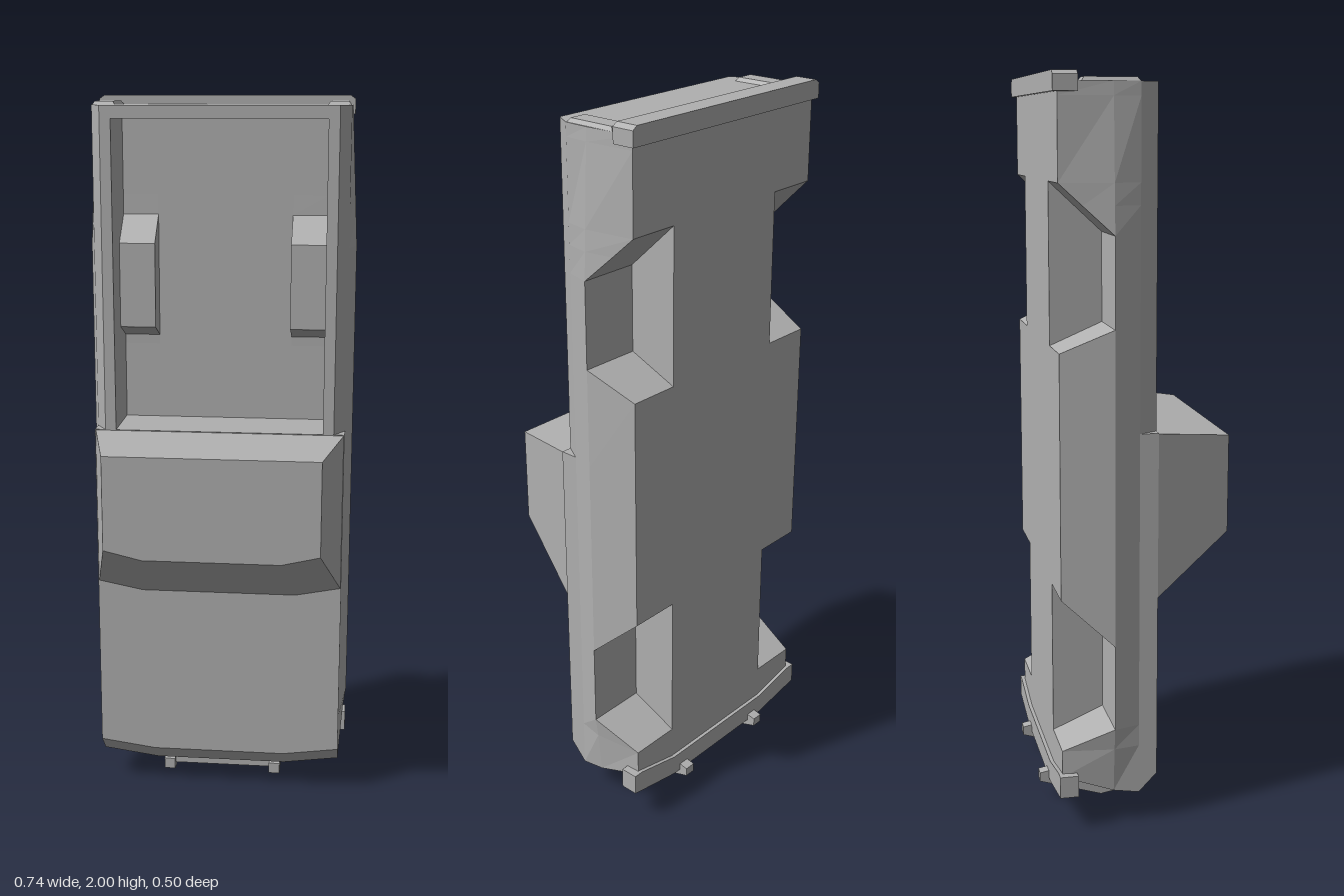
import * as THREE from 'three';

const paint = new THREE.MeshStandardMaterial({ color: 0xb0b0b0 });
paint.name = 'grey';

// Flat-faced surface through rows of [x, y, z]; faces point along (row direction x column direction)
function loft(name, rows, { closed = false, capEnd = false } = {}) {
  const pos = [];
  const n = rows[0].length;
  for (let i = 0; i + 1 < rows.length; i++) {
    for (let j = 0; j < (closed ? n : n - 1); j++) {
      const k = (j + 1) % n;
      const [a, b, c, d] = [rows[i][j], rows[i + 1][j], rows[i][k], rows[i + 1][k]];
      pos.push(...a, ...b, ...c, ...c, ...b, ...d);
    }
  }
  if (capEnd) {
    const e = rows[rows.length - 1];
    for (let j = 1; j + 1 < n; j++) pos.push(...e[0], ...e[j + 1], ...e[j]);
  }
  const g = new THREE.BufferGeometry();
  g.setAttribute('position', new THREE.Float32BufferAttribute(pos, 3));
  g.computeVertexNormals();
  return named(name, g);
}

function named(name, geometry) {
  const m = new THREE.Mesh(geometry, paint);
  m.name = name;
  return m;
}

function box(name, w, h, d, x, y, z) {
  return named(name, new THREE.BoxGeometry(w, h, d).translate(x, y, z));
}

function plate(points, depth) {
  const s = new THREE.Shape(points.map(([x, y]) => new THREE.Vector2(x, y)));
  return new THREE.ExtrudeGeometry(s, { depth, bevelEnabled: false });
}

// Piecewise linear lookup; keys rise
function lerpTable(t, v) {
  if (v <= t[0][0]) return t[0][1];
  for (let i = 1; i < t.length; i++) {
    const [k0, a] = t[i - 1], [k1, b] = t[i];
    if (v <= k1) return a + ((b - a) * (v - k0)) / (k1 - k0);
  }
  return t[t.length - 1][1];
}

const BOTTOM = -0.215, BELT = -0.075, SHOULDER = -0.005, TOP = 0.045, FLOOR = -0.14;
const bow = x => 0.022 * Math.min(1, Math.max(0, (0.35 - Math.abs(x)) / 0.16));
const noseY = (x, z) =>
  lerpTable([[BOTTOM, 0.15], [BELT, 0.1], [SHOULDER, 0.088], [TOP, 0.14]], z) - bow(x);
const archZ = y => lerpTable([
  [0.225, BOTTOM], [0.285, BELT], [0.52, BELT], [0.65, BOTTOM],
  [1.305, BOTTOM], [1.365, BELT], [1.6, BELT], [1.73, BOTTOM]], y);
const beltX = y => lerpTable([[0.14, 0.35], [0.285, 0.37], [1.6, 0.37], [1.975, 0.352]], y);

// Body cross-section at y: wheel arches below, load bed above
function section(y, { bed = false, rear = false, nose = false } = {}) {
  const zn = archZ(y), xb = beltX(y);
  const xl = 0.345 + ((xb - 0.345) * (zn - BOTTOM)) / (BELT - BOTTOM);
  const floor = bed ? FLOOR : TOP;
  const over = bed ? Math.max(FLOOR, zn + 0.015) : TOP;
  const half = [
    [0.2, BOTTOM], [0.2, zn], [xl, zn], [xb, BELT], [0.35, SHOULDER],
    [rear ? 0.32 : 0.35, TOP], [0.29, TOP], [0.29, over], [0.19, over], [0.19, floor]];
  const loop = [...half, ...half.map(([x, z]) => [-x, z]).reverse()];
  return loop.map(([x, z]) => [x, nose ? noseY(x, z) : y, z]);
}

export function createModel() {
  const model = new THREE.Group();
  model.name = 'pickupTruck';

  // Body shell
  const bed = { bed: true, rear: true };
  model.add(loft('body', [
    section(0.14, { nose: true }),
    ...[0.225, 0.285, 0.52, 0.65, 1.09].map(y => section(y)),
    section(1.09, { rear: true }),
    ...[1.09, 1.305, 1.331, 1.365, 1.6, 1.674, 1.73, 1.94].map(y => section(y, bed)),
    section(1.94, { rear: true }),
    section(1.975, { rear: true }),
  ], { closed: true }));

  // Tailgate face
  model.add(loft('tailgate',
    [[0.345, BOTTOM], [0.352, BELT], [0.35, SHOULDER], [0.32, TOP]]
      .map(([x, z]) => [[-x, 1.975, z], [x, 1.975, z]])));

  // Nose with a recessed grille opening
  const noseRows = [[TOP], [SHOULDER], [-0.015], [-0.015, 1], [BELT, 1], [-0.165, 1], [-0.165], [BOTTOM]];
  model.add(loft('nose', noseRows.map(([z, deepRow]) => {
    const xe = lerpTable([[BOTTOM, 0.345], [BELT, 0.35], [TOP, 0.35]], z);
    const cols = [[-xe], [-0.31], [-0.31, 1], [-0.19, 1], [0.19, 1], [0.31, 1], [0.31], [xe]];
    return cols.map(([x, deepCol]) =>
      [x, deepRow && deepCol ? 0.16 - bow(x) : noseY(x, z), z]);
  })));
  for (const z of [-0.065, -0.115]) {
    model.add(box('grilleBar', 0.6, 0.02, 0.012, 0, 0.125, z));
  }

  // Cab, with bowed windscreen
  const ring = (xs, xc, yBack, yFront, z) => [
    [-xs, yBack, z], [xs, yBack, z], [xs, yFront, z],
    [xc, yFront - 0.025, z], [-xc, yFront - 0.025, z], [-xs, yFront, z]];
  model.add(loft('cab', [
    ring(0.348, 0.22, 1.088, 0.64, 0.044),
    ring(0.296, 0.19, 1.065, 0.8, 0.25),
  ], { closed: true, capEnd: true }));

  // Tail lights
  for (const s of [-1, 1]) {
    const lamp = (inset, y) => {
      const w = 0.032 - inset, h = 0.075 - inset;
      return [[-1, -1], [1, -1], [1, 1], [-1, 1]]
        .map(([a, b]) => [s * 0.317 + a * w, y, -0.08 + b * h]);
    };
    model.add(loft('tailLight', [lamp(0, 1.974), lamp(0.008, 1.985)],
      { closed: true, capEnd: true }));
  }

  // Bumpers
  model.add(named('rearBumper', plate([
    [-0.357, 1.95], [0.357, 1.95], [0.357, 1.99], [0.343, 2],
    [-0.343, 2], [-0.357, 1.99]], 0.063).translate(0, 0, -0.228)));
  model.add(named('frontBumper', plate([
    [-0.368, 0.1], [-0.2, 0.07], [0.2, 0.07], [0.368, 0.1], [0.368, 0.16],
    [0.34, 0.16], [0.2, 0.13], [-0.2, 0.13], [-0.34, 0.16], [-0.368, 0.16]],
    0.05).translate(0, 0, -0.225)));

  // Push bar
  for (const x of [-0.159, 0.159]) {
    const g = plate([[-0.25, 0.06], [-0.075, 0.004], [-0.04, 0.01], [-0.04, 0.042],
      [-0.215, 0.092], [-0.25, 0.085]], 0.032);
    model.add(named('pushBarUpright', g.rotateY(-Math.PI / 2).translate(x + 0.016, 0, 0)));
  }
  for (const [y, z] of [[0.03, -0.075], [0.05, -0.14]]) {
    model.add(box('pushBarRail', 0.3, 0.022, 0.022, 0, y, z));
  }
  return model;
}
